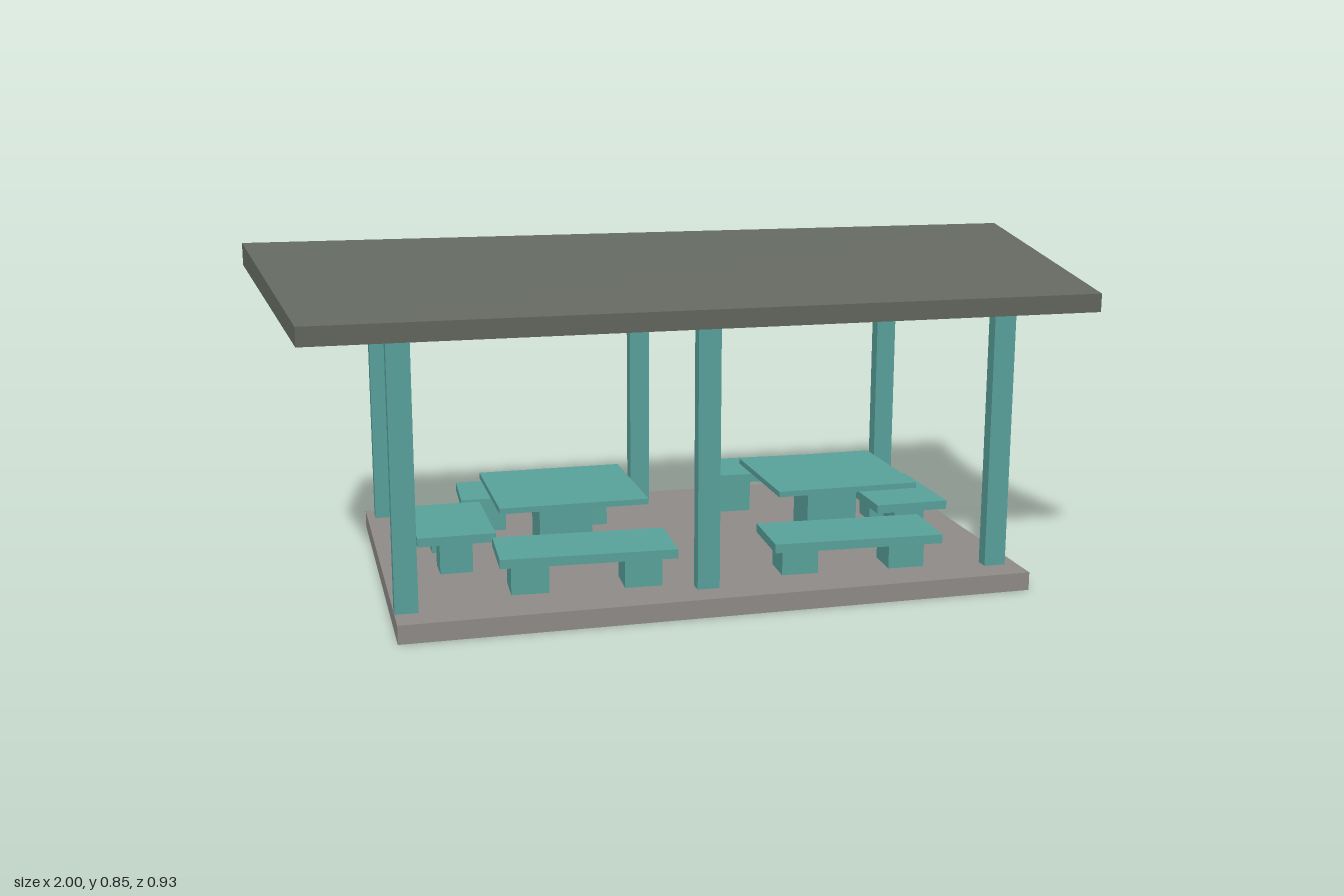
import * as THREE from 'three';

const material = (color) => new THREE.MeshStandardMaterial({ color, flatShading: true });
const teal = material(0x5aa49d);
const roofGreen = material(0x62675f);
const stone = material(0x918d89);

// Box given by its min/max limits on each axis
function box(name, [x0, x1], [y0, y1], [z0, z1], mat = teal) {
  const mesh = new THREE.Mesh(new THREE.BoxGeometry(x1 - x0, y1 - y0, z1 - z0), mat);
  mesh.position.set((x0 + x1) / 2, (y0 + y1) / 2, (z0 + z1) / 2);
  mesh.name = name;
  return mesh;
}

const FLOOR = 0.045;

// Seat board on two block legs, long axis along x before turning
function bench(name, { x, z, top, length, width, legX, legW, legD, turn }) {
  const group = new THREE.Group();
  group.name = name;
  const under = top - 0.022;
  group.add(box('seat', [-length / 2, length / 2], [under, top], [-width / 2, width / 2]));
  for (const s of [-1, 1]) {
    group.add(box('benchLeg', [s * legX - legW / 2, s * legX + legW / 2],
      [FLOOR, under], [-legD / 2, legD / 2]));
  }
  group.position.set(x, 0, z);
  group.rotation.y = turn;
  return group;
}

function table(name, x, z, top) {
  const group = new THREE.Group();
  group.name = name;
  group.add(box('tableTop', [x - 0.182, x + 0.182], [top - 0.014, top], [z - 0.17, z + 0.17]));
  group.add(box('pedestal', [x - 0.066, x + 0.066], [FLOOR, top - 0.014], [z - 0.055, z + 0.055]));
  return group;
}

// Chevron section swept along x, with ridge and eaves slid apart
function roof() {
  const section = [[-0.415, 0.672], [0, 0.795], [0.43, 0.666], [0.43, 0.712], [0, 0.847], [-0.415, 0.717]];
  const shape = new THREE.Shape(section.map(([a, b]) => new THREE.Vector2(a, b)));
  const geometry = new THREE.ExtrudeGeometry(shape, { depth: 1.9, bevelEnabled: false });
  geometry.translate(0, 0, -0.95);
  geometry.rotateY(Math.PI / 2);
  const p = geometry.attributes.position;
  for (let i = 0; i < p.count; i++) {
    const onRidge = Math.abs(p.getZ(i)) < 0.01;
    if (onRidge) p.setZ(i, 0.02 * p.getX(i) / 0.95);
    p.setX(i, p.getX(i) + (onRidge ? -0.05 : 0.05));
  }
  geometry.computeVertexNormals();
  const mesh = new THREE.Mesh(geometry, roofGreen);
  mesh.name = 'roof';
  return mesh;
}

export function createModel() {
  const model = new THREE.Group();
  model.name = 'picnicShelter';

  model.add(box('floorSlab', [-0.71, 0.82], [0, FLOOR], [-0.465, 0.465], stone));
  model.add(roof());

  // Posts, front and back rows
  for (const x of [-0.682, 0.028, 0.762]) {
    model.add(box('frontPost', [x - 0.027, x + 0.027], [FLOOR, 0.69], [0.36, 0.393]));
  }
  for (const x of [-0.662, 0.048, 0.775]) {
    model.add(box('backPost', [x - 0.027, x + 0.027], [FLOOR, 0.68], [-0.427, -0.388]));
  }

  // Tables
  model.add(table('leftTable', -0.258, 0.05, 0.226));
  model.add(table('rightTable', 0.443, 0.04, 0.217));

  // Long benches, slightly turned
  const long = { length: 0.42, width: 0.178, legX: 0.135, legW: 0.09, legD: 0.09, turn: -0.05 };
  const longBenches = [
    ['frontBench', -0.25, 0.289, 0.147], ['frontBench', 0.41, 0.304, 0.138],
    ['backBench', -0.27, -0.236, 0.145], ['backBench', 0.41, -0.256, 0.16],
  ];
  for (const [name, x, z, top] of longBenches) model.add(bench(name, { ...long, x, z, top }));

  // End benches
  const end = { length: 0.285, width: 0.19, legX: 0.087, legW: 0.075, legD: 0.08, turn: Math.PI / 2, z: 0.008, top: 0.145 };
  model.add(bench('endBench', { ...end, x: -0.535 }));
  model.add(bench('endBench', { ...end, x: 0.642 }));

  return model;
}
